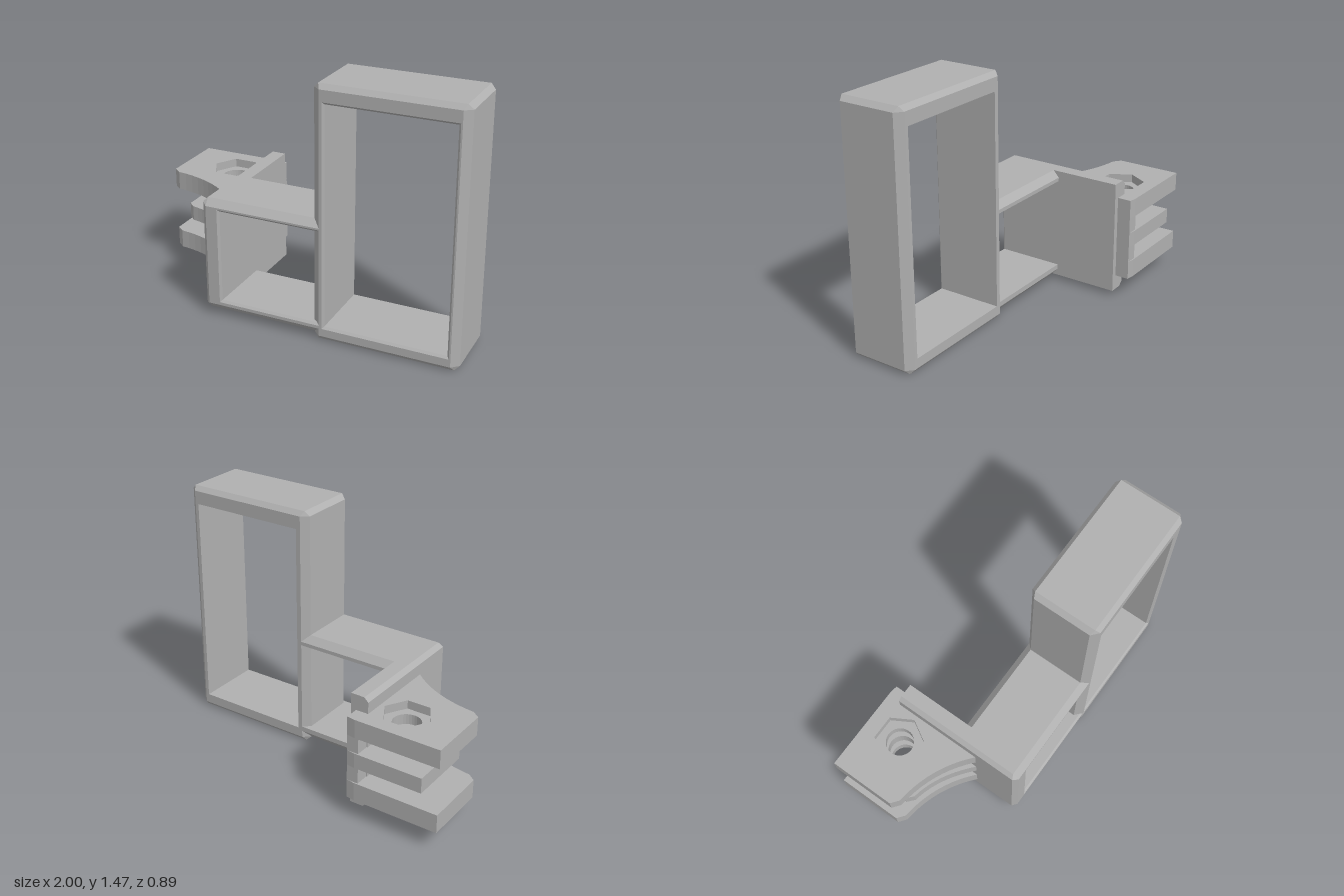
import * as THREE from 'three';

const grey = new THREE.MeshStandardMaterial({ color: 0xb0b0b0 });
grey.name = 'grey plastic';

// Joins closed rings of points into a faceted skin; the last ring meets the first
function skin(rings) {
  const pos = [];
  const tri = (a, b, c) => {
    const area = b.clone().sub(a).cross(c.clone().sub(a)).length();
    if (area > 1e-8) for (const p of [a, b, c]) pos.push(p.x, p.y, p.z);
  };
  rings.forEach((r, k) => {
    const s = rings[(k + 1) % rings.length];
    for (let i = 0; i < r.length; i++) {
      const j = (i + 1) % r.length;
      tri(r[i], s[i], s[j]);
      tri(r[i], s[j], r[j]);
    }
  });
  const g = new THREE.BufferGeometry();
  g.setAttribute('position', new THREE.Float32BufferAttribute(pos, 3));
  g.computeVertexNormals();
  return g;
}

// Eight-point outline: corner cuts cl (left) and cr (right), separate depth for side and top points
function outline([x0, x1, y0, y1], cl, cr, zSide, zTop = zSide) {
  return [
    [x1, y0 + cr, zSide], [x1, y1 - cr, zSide], [x1 - cr, y1, zTop], [x0 + cl, y1, zTop],
    [x0, y1 - cl, zSide], [x0, y0 + cl, zSide], [x0 + cl, y0, zTop], [x1 - cr, y0, zTop],
  ].map(p => new THREE.Vector3(...p));
}

// Rectangular sleeve with bevelled rims and a small lip at the front of the opening
function sleeve(outer, hole, { left, right, top, sideZ, topZ, cutL, cutR }) {
  const zf = 0.445, zb = 0.03, lip = 0.012;
  const [x0, x1, y0, y1] = outer;
  const face = [x0 + left, x1 - right, y0 + top, y1 - top];
  const wide = [hole[0] - lip, hole[1] + (right ? lip : 0), hole[2] - lip, hole[3] + lip];
  return skin([
    outline(face, 0, 0, zf),
    outline(outer, cutL, cutR, zf - sideZ, zf - topZ),
    outline(outer, cutL, cutR, zb + sideZ, zb + topZ),
    outline(face, 0, 0, zb),
    outline(hole, 0, 0, zb),
    outline(hole, 0, 0, zf - lip),
    outline(wide, 0, 0, zf),
  ]);
}

// Prong plan in x and z, with a round or six-sided hole
function prongShape(end, sides, radius) {
  const s = new THREE.Shape();
  s.moveTo(end, -0.45);
  s.lineTo(-0.49, -0.45);
  s.lineTo(-0.44, -0.443);
  s.lineTo(-0.44, -0.3);
  s.lineTo(-0.5, -0.2);
  s.lineTo(-0.5, 0.18);
  s.lineTo(-0.515, 0.168);
  if (end < -0.95) {
    s.quadraticCurveTo(-0.7, 0.0, -0.955, -0.025);
    s.lineTo(end, -0.06);
  } else {
    s.quadraticCurveTo(-0.68, 0.015, -0.86, -0.015);
    s.lineTo(end, -0.05);
  }
  s.closePath();
  const pts = [];
  for (let i = 0; i < sides; i++) {
    const a = (i / sides) * Math.PI * 2;
    pts.push(new THREE.Vector2(-0.68 + radius * Math.cos(a), -0.24 + radius * Math.sin(a)));
  }
  s.holes.push(new THREE.Path(pts));
  return s;
}

export function createModel() {
  const model = new THREE.Group();
  const add = (name, geometry, parent = model) => {
    const m = new THREE.Mesh(geometry, grey);
    m.name = name;
    parent.add(m);
    return m;
  };

  // Two open sleeves side by side
  add('tallSleeve', sleeve([0.16, 1, 0, 1.465], [0.23, 0.937, 0.085, 1.36],
    { left: 0.042, right: 0.042, top: 0.027, sideZ: 0.037, topZ: 0.025, cutL: 0.028, cutR: 0.028 }));
  add('smallSleeve', sleeve([-0.515, 0.215, 0.03, 0.712], [-0.407, 0.205, 0.1, 0.65],
    { left: 0.027, right: 0, top: 0.04, sideZ: 0.025, topZ: 0.037, cutL: 0.025, cutR: 0 }));

  // Side wall running backwards from the small sleeve
  const wall = new THREE.Shape([
    [-0.407, 0.03], [-0.407, 0.712], [-0.49, 0.712], [-0.515, 0.687], [-0.515, 0.055], [-0.49, 0.03],
  ].map(p => new THREE.Vector2(...p)));
  add('sideWall', new THREE.ExtrudeGeometry(wall, { depth: 0.74, bevelEnabled: false }))
    .position.z = -0.36;

  // Block tying the prongs together behind the wall
  add('prongBlock', new THREE.BoxGeometry(0.07, 0.5, 0.185)).position.set(-0.475, 0.37, -0.35);

  // Three hinge prongs; the outer two carry a hexagonal nut recess on the outside
  const layer = (name, end, sides, radius, y0, y1) => {
    const g = new THREE.ExtrudeGeometry(prongShape(end, sides, radius),
      { depth: y1 - y0, bevelEnabled: false, curveSegments: 10 });
    g.rotateX(Math.PI / 2);
    g.translate(0, y1, 0);
    add(name, g);
  };
  layer('upperProngRecess', -1, 6, 0.14, 0.57, 0.62);
  layer('upperProng', -1, 32, 0.08, 0.51, 0.57);
  layer('middleProng', -0.9, 32, 0.08, 0.325, 0.415);
  layer('lowerProng', -1, 32, 0.08, 0.17, 0.23);
  layer('lowerProngRecess', -1, 6, 0.14, 0.12, 0.17);

  return model;
}
